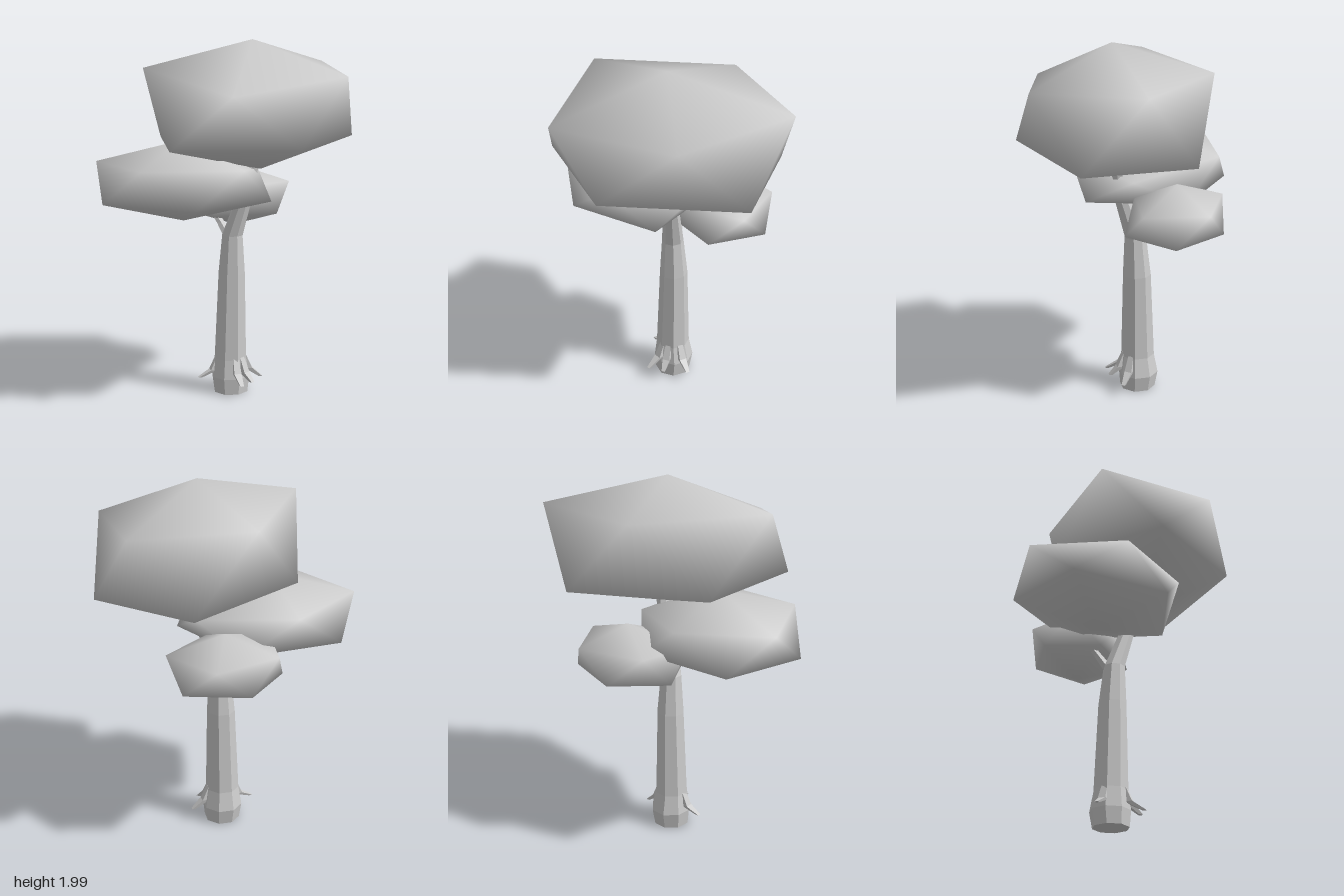
import * as THREE from 'three';

const smooth = new THREE.MeshStandardMaterial({ color: 0xcccccc });
const faceted = new THREE.MeshStandardMaterial({ color: 0xcccccc, flatShading: true });

function buildMesh(name, points, faces, material) {
  const geometry = new THREE.BufferGeometry();
  geometry.setAttribute('position', new THREE.Float32BufferAttribute(points.flat(), 3));
  geometry.setIndex(faces.flat());
  geometry.computeVertexNormals();
  const mesh = new THREE.Mesh(geometry, material);
  mesh.name = name;
  return mesh;
}

// Leaf mass: a distorted icosahedron. The belt alternates upper and lower
// corners, running clockwise as seen from below.
function canopy(name, top, bottom, belt) {
  const n = belt.length;
  const points = [top, bottom, ...belt];
  const faces = [];
  for (let i = 0; i < n; i++) {
    const a = 2 + i, b = 2 + (i + 1) % n, c = 2 + (i + 2) % n;
    if (i % 2 === 0) faces.push([a, b, c], [0, a, c]);
    else faces.push([a, c, b], [1, c, a]);
  }
  // every face must wind outwards from the middle
  const v = points.map(p => new THREE.Vector3(...p));
  const middle = v[0].clone().add(v[1]).multiplyScalar(0.5);
  for (const f of faces) {
    const [a, b, c] = f.map(i => v[i]);
    const normal = b.clone().sub(a).cross(c.clone().sub(a));
    if (normal.dot(a.clone().sub(middle)) < 0) f.reverse();
  }
  return buildMesh(name, points, faces, smooth);
}

// Limb: horizontal rings [x, y, z, radius] joined from bottom to top
function limb(name, rings, sides, turn = 0) {
  const points = [], faces = [];
  for (const [x, y, z, r] of rings) {
    for (let i = 0; i < sides; i++) {
      const a = turn + i / sides * Math.PI * 2;
      points.push([x + Math.sin(a) * r, y, z + Math.cos(a) * r]);
    }
  }
  for (let j = 0; j < rings.length - 1; j++) {
    for (let i = 0; i < sides; i++) {
      const a = j * sides + i, b = j * sides + (i + 1) % sides;
      faces.push([a, b, b + sides], [a, b + sides, a + sides]);
    }
  }
  const last = (rings.length - 1) * sides;
  for (let i = 1; i < sides - 1; i++) {
    faces.push([0, i + 1, i], [last, last + i, last + i + 1]);
  }
  return buildMesh(name, points, faces, faceted);
}

export function createModel() {
  const tree = new THREE.Group();
  tree.name = 'tree';

  // Leaf masses
  tree.add(canopy('topCanopy', [0.11, 2.0, 0.03], [0.16, 1.3, 0.02], [
    [-0.02, 1.86, -0.485], [0.34, 1.46, -0.54], [0.62, 1.86, -0.385], [0.71, 1.46, -0.075],
    [0.57, 1.81, 0.27], [0.25, 1.46, 0.53], [-0.12, 1.74, 0.585], [-0.405, 1.46, 0.43],
    [-0.49, 1.86, 0.11], [-0.35, 1.46, -0.24],
  ]));
  tree.add(canopy('middleCanopy', [-0.27, 1.46, -0.04], [-0.26, 1.02, -0.03], [
    [-0.27, 1.34, -0.44], [-0.55, 1.14, -0.38], [-0.715, 1.34, -0.19], [-0.71, 1.14, 0.07],
    [-0.535, 1.34, 0.29], [-0.27, 1.14, 0.39], [0.0, 1.34, 0.34], [0.19, 1.14, 0.15],
    [0.18, 1.28, -0.12], [0.0, 1.14, -0.36],
  ]));
  tree.add(canopy('smallCanopy', [0.1, 1.28, -0.34], [0.09, 0.925, -0.34], [
    [0.24, 1.18, -0.575], [0.05, 1.02, -0.585], [-0.13, 1.18, -0.51], [-0.21, 1.02, -0.38],
    [-0.2, 1.18, -0.22], [-0.08, 1.02, -0.1], [0.1, 1.18, -0.095], [0.29, 1.02, -0.12],
    [0.4, 1.18, -0.27], [0.37, 1.02, -0.44],
  ]));

  // Trunk, curving forward into the top leaf mass
  tree.add(limb('trunk', [
    [0.015, 0.01, -0.08, 0.1], [0.015, 0.1, -0.085, 0.112], [0.013, 0.21, -0.08, 0.094],
    [0.02, 0.7, -0.077, 0.078], [0.022, 0.92, -0.068, 0.06],
    [0.08, 1.14, -0.02, 0.045], [0.14, 1.42, 0.0, 0.036],
  ], 8, 0.25));

  // Side branch, reaching back into the small leaf mass
  tree.add(limb('sideBranch', [
    [0.02, 0.88, -0.08, 0.035], [-0.03, 0.98, -0.14, 0.024], [-0.12, 1.14, -0.24, 0.018],
  ], 5));

  // Root spurs, pointing outwards and down: tip x, y, z
  const roots = [[-0.165, 0.1, -0.07], [0.185, 0.085, -0.07], [0.04, 0.09, 0.1], [0.11, 0.09, 0.045]];
  for (const [x, y, z] of roots) {
    const dx = x - 0.015, dz = z + 0.08, d = Math.hypot(dx, dz);
    tree.add(limb('rootSpur', [
      [x, y, z, 0.014],
      [0.015 + dx / d * 0.1, 0.14, -0.08 + dz / d * 0.1, 0.03],
      [0.015 + dx / d * 0.07, 0.22, -0.08 + dz / d * 0.07, 0.022],
    ], 4, Math.atan2(dx, dz) + Math.PI / 4));
  }
  return tree;
}
